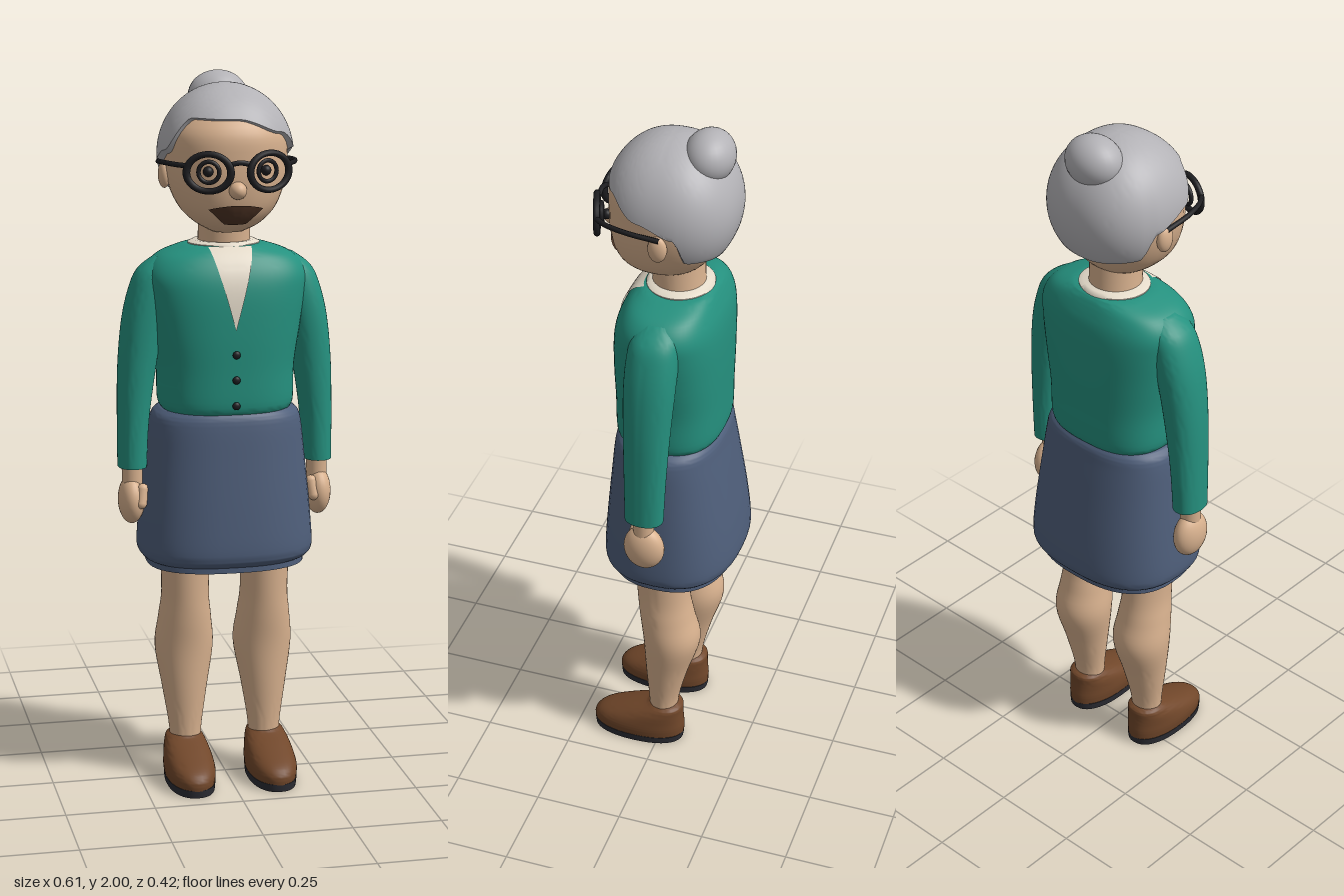
import * as THREE from 'three';
import { mergeVertices, toCreasedNormals } from 'three/addons/utils/BufferGeometryUtils.js';

const mat = (name, color, side = THREE.FrontSide) => {
  const m = new THREE.MeshStandardMaterial({ color, side });
  m.name = name;
  return m;
};

// Surface from fn(u, v) -> [x, y, z]; front side is u-direction cross v-direction
function grid(fn, nu, nv) {
  const pos = [], idx = [];
  for (let j = 0; j <= nv; j++) for (let i = 0; i <= nu; i++) pos.push(...fn(i / nu, j / nv));
  for (let j = 0; j < nv; j++) for (let i = 0; i < nu; i++) {
    const a = j * (nu + 1) + i, c = a + nu + 1;
    idx.push(a, a + 1, c, a + 1, c + 1, c);
  }
  const g = new THREE.BufferGeometry();
  g.setAttribute('position', new THREE.Float32BufferAttribute(pos, 3));
  g.setIndex(idx);
  return toCreasedNormals(mergeVertices(g, 1e-5), 1);
}

// Catmull-Rom resampling of cross-section rows [y, cx, cz, rx, rz]
function smooth(rows, k = 5) {
  const out = [], at = i => rows[Math.max(0, Math.min(rows.length - 1, i))];
  for (let i = 0; i < rows.length - 1; i++) for (let s = 0; s < k; s++) {
    const t = s / k, [a, b, c, d] = [at(i - 1), at(i), at(i + 1), at(i + 2)];
    out.push(b.map((p, q) => {
      const cubic = 3 * (p - c[q]) + d[q] - a[q];
      const square = 2 * a[q] - 5 * p + 4 * c[q] - d[q];
      return p + 0.5 * t * (c[q] - a[q] + t * (square + t * cubic));
    }));
  }
  out.push(rows[rows.length - 1]);
  return out;
}

// Superellipse offset at angle a, from +z towards +x
const ring = (a, n) => {
  const f = w => Math.sign(w) * Math.abs(w) ** (2 / n);
  return [f(Math.sin(a)), f(Math.cos(a))];
};

// Closed loft through horizontal sections, capped at both ends
function loft(rows, n = 2, seg = 40) {
  const first = rows[0], last = rows[rows.length - 1];
  const all = [[...first.slice(0, 3), 0, 0], ...rows, [...last.slice(0, 3), 0, 0]];
  const nv = all.length - 1;
  return grid((u, v) => {
    const [y, cx, cz, rx, rz] = all[Math.round(v * nv)];
    const [x, z] = ring((Math.round(u * seg) % seg) / seg * Math.PI * 2, n);
    return [cx + rx * x, y, cz + rz * z];
  }, seg, nv);
}

// Front z of a loft at (x, y)
function frontZ(rows, n, x, y) {
  let i = 0;
  while (i < rows.length - 2 && rows[i + 1][0] < y) i++;
  const a = rows[i], b = rows[i + 1], t = Math.min(1, Math.max(0, (y - a[0]) / (b[0] - a[0])));
  const [, cx, cz, rx, rz] = a.map((p, q) => p + (b[q] - p) * t);
  return cz + rz * Math.max(0, 1 - Math.abs((x - cx) / rx) ** n) ** (1 / n);
}

const lerpTable = (tab, x) => {
  let i = 0;
  while (i < tab.length - 2 && tab[i + 1][0] < x) i++;
  const [x0, y0] = tab[i], [x1, y1] = tab[i + 1];
  return y0 + (y1 - y0) * THREE.MathUtils.smoothstep(x, x0, x1);
};

export function createModel() {
  const model = new THREE.Group();
  const skin = mat('skin', 0xd9b28f), hairMat = mat('grey hair', 0xb3b2b6, THREE.DoubleSide);
  const teal = mat('teal knit', 0x25917f), cream = mat('cream shirt', 0xe6dccb, THREE.DoubleSide);
  const blue = mat('slate blue skirt', 0x4f5f7b), brown = mat('brown leather', 0x71472a);
  const dark = mat('dark sole', 0x2b2c33), black = mat('black frame', 0x1d1d20);
  const lip = mat('dark brown mouth', 0x4d3324, THREE.DoubleSide);

  const add = (name, geo, m, p = [0, 0, 0], s = [1, 1, 1], r = [0, 0, 0]) => {
    const mesh = new THREE.Mesh(geo, m);
    mesh.name = name;
    mesh.position.set(...p);
    mesh.scale.set(...s);
    mesh.rotation.set(...r);
    model.add(mesh);
  };
  const ball = (name, m, p, s) => add(name, new THREE.SphereGeometry(1, 28, 20), m, p, s);
  const tube = (name, m, pts, r) => {
    const path = new THREE.CatmullRomCurve3(pts.map(p => new THREE.Vector3(...p)));
    add(name, new THREE.TubeGeometry(path, 20, r, 8), m);
  };

  // Head and neck
  const head = smooth([[1.575, 0, 0.025, 0.045, 0.05], [1.6, 0, 0.025, 0.09, 0.1], [1.64, 0, 0.02, 0.13, 0.132],
    [1.7, 0, 0.01, 0.157, 0.155], [1.77, 0, 0, 0.168, 0.168], [1.85, 0, 0, 0.163, 0.162], [1.92, 0, 0, 0.11, 0.11]]);
  add('head', loft(head, 2.2), skin);
  add('neck', loft([[1.5, 0, -0.02, 0.078, 0.075], [1.55, 0, -0.015, 0.072, 0.072], [1.65, 0, -0.01, 0.072, 0.075]]), skin);
  ball('nose', skin, [0, 1.7, 0.168], [0.024, 0.024, 0.028]);
  add('mouth', grid((u, v) => {
    const s = u * 2 - 1, x = s * (0.03 + 0.045 * v), y = 1.605 + 0.055 * v - 0.012 * v * s * s;
    return [x, y, frontZ(head, 2.2, x, y) + 0.004 + 0.008 * (1 - s * s)];
  }, 16, 8), lip);

  // Hair: cap over the head with a swept hairline, lip tucked in at the bottom
  const hairline = [[-180, 1.655], [-118, 1.67], [-104, 1.75], [-75, 1.79], [-45, 1.885], [0, 1.882],
    [45, 1.842], [80, 1.79], [104, 1.755], [118, 1.67], [180, 1.655]];
  add('hair', grid((u, v) => {
    const deg = u * 360 - 180;
    const polar = Math.acos((lerpTable(hairline, deg) - 1.78) / 0.195) * (1 - v);
    const k = (v === 0 ? 0.9 : 1) * Math.sin(polar);
    const [x, z] = ring((u === 1 ? -180 : deg) * Math.PI / 180, 2.3);
    return [0.185 * k * x, 1.78 + 0.195 * Math.cos(polar), 0.182 * k * z];
  }, 96, 28), hairMat);
  ball('hairBun', hairMat, [0, 1.93, -0.097], [0.083, 0.07, 0.068]);

  // Torso: cardigan with shirt showing at the neck
  const torso = smooth([[1.075, 0, -0.005, 0.17, 0.135], [1.1, 0, -0.005, 0.187, 0.148], [1.2, 0, -0.005, 0.19, 0.15],
    [1.3, 0, -0.005, 0.205, 0.151], [1.4, 0, -0.006, 0.22, 0.148], [1.46, 0, -0.008, 0.222, 0.138],
    [1.505, 0, -0.012, 0.19, 0.118], [1.53, 0, -0.018, 0.125, 0.098], [1.536, 0, -0.018, 0.09, 0.085]]);
  add('cardigan', loft(torso, 2.6, 64), teal);
  add('shirtCollar', loft([[1.51, 0, -0.02, 0.1, 0.092], [1.538, 0, -0.02, 0.1, 0.092], [1.545, 0, -0.02, 0.085, 0.082]]), cream);
  add('shirtFront', grid((u, v) => {
    const x = (u * 2 - 1) * 0.06 * v, y = 1.315 + 0.22 * v;
    return [x, y, frontZ(torso, 2.6, x, y) + 0.004];
  }, 10, 24), cream);
  for (const y of [1.25, 1.18, 1.108])
    ball('button', black, [0, y, frontZ(torso, 2.6, 0, y) + 0.008], [0.011, 0.011, 0.007]);

  // Skirt with a narrower lining showing under the hem
  add('skirt', loft(smooth([[0.648, 0, -0.015, 0.215, 0.165], [0.66, 0, -0.015, 0.236, 0.183], [0.69, 0, -0.015, 0.246, 0.193],
    [0.8, 0, -0.013, 0.238, 0.184], [0.95, 0, -0.008, 0.222, 0.165], [1.03, 0, -0.005, 0.213, 0.154],
    [1.065, 0, -0.005, 0.204, 0.148], [1.082, 0, -0.005, 0.185, 0.138]]), 2.5, 48), blue);
  add('skirtLining', loft([[0.635, 0, -0.015, 0.222, 0.17], [0.66, 0, -0.015, 0.222, 0.17]], 2.5, 48), blue);

  // Paired parts; s = +1 is the model's left
  for (const s of [1, -1]) {
    const side = s > 0 ? 'left' : 'right';
    const mirror = rows => smooth(rows.map(([y, cx, ...r]) => [y, s * cx, ...r]));

    ball(side + 'Ear', skin, [s * 0.167, 1.728, -0.01], [0.017, 0.038, 0.026]);

    // Glasses and eyes
    add(side + 'Rim', new THREE.TorusGeometry(0.052, 0.009, 10, 32), black, [s * 0.083, 1.752, 0.184], [1.15, 0.95, 1], [0, s * 0.32, 0]);
    add(side + 'EyeOutline', new THREE.TorusGeometry(0.028, 0.006, 8, 24), black, [s * 0.08, 1.752, 0.172], [1, 1, 1], [0, s * 0.32, 0]);
    ball(side + 'Pupil', black, [s * 0.079, 1.752, 0.158], [0.014, 0.014, 0.014]);
    tube(side + 'GlassesArm', black, [[s * 0.138, 1.77, 0.167], [s * 0.16, 1.77, 0.135], [s * 0.178, 1.768, 0.07], [s * 0.182, 1.762, -0.02]], 0.007);

    // Arm
    add(side + 'Sleeve', loft(mirror([[0.918, 0.264, -0.002, 0.04, 0.054], [1.05, 0.26, -0.004, 0.044, 0.058],
      [1.2, 0.248, -0.006, 0.053, 0.064], [1.33, 0.23, -0.008, 0.058, 0.07], [1.42, 0.206, -0.01, 0.06, 0.07],
      [1.47, 0.185, -0.012, 0.056, 0.062], [1.505, 0.165, -0.014, 0.03, 0.035]]), 2.2), teal);
    add(side + 'Wrist', new THREE.CylinderGeometry(0.03, 0.028, 0.1, 20), skin, [s * 0.264, 0.89, 0]);
    ball(side + 'Hand', skin, [s * 0.267, 0.822, -0.002], [0.037, 0.068, 0.058]);
    add(side + 'Thumb', new THREE.CapsuleGeometry(0.016, 0.04, 6, 14), skin, [s * 0.243, 0.838, 0.036], [1, 1, 1], [-0.25, 0, s * 0.15]);

    // Leg
    add(side + 'Leg', loft(mirror([[0.06, 0.115, -0.01, 0.045, 0.042], [0.14, 0.115, -0.008, 0.046, 0.043],
      [0.26, 0.115, -0.018, 0.064, 0.062], [0.38, 0.114, -0.032, 0.083, 0.083], [0.47, 0.114, -0.018, 0.075, 0.08],
      [0.55, 0.114, -0.008, 0.067, 0.077], [0.7, 0.114, 0, 0.072, 0.078]])), skin);

    // Shoe
    add(side + 'Sole', loft([[0, s * 0.118, 0.068, 0.066, 0.135], [0.022, s * 0.118, 0.068, 0.068, 0.137]], 2.3), dark);
    add(side + 'Shoe', loft(mirror([[0.02, 0.118, 0.068, 0.067, 0.137], [0.045, 0.118, 0.067, 0.07, 0.137],
      [0.068, 0.118, 0.055, 0.068, 0.123], [0.095, 0.118, 0.022, 0.062, 0.088], [0.118, 0.118, -0.01, 0.052, 0.055],
      [0.127, 0.118, -0.012, 0.04, 0.042]]), 2.2), brown);
  }
  tube('glassesBridge', black, [[-0.04, 1.77, 0.196], [0, 1.778, 0.2], [0.04, 1.77, 0.196]], 0.007);
  return model;
}
